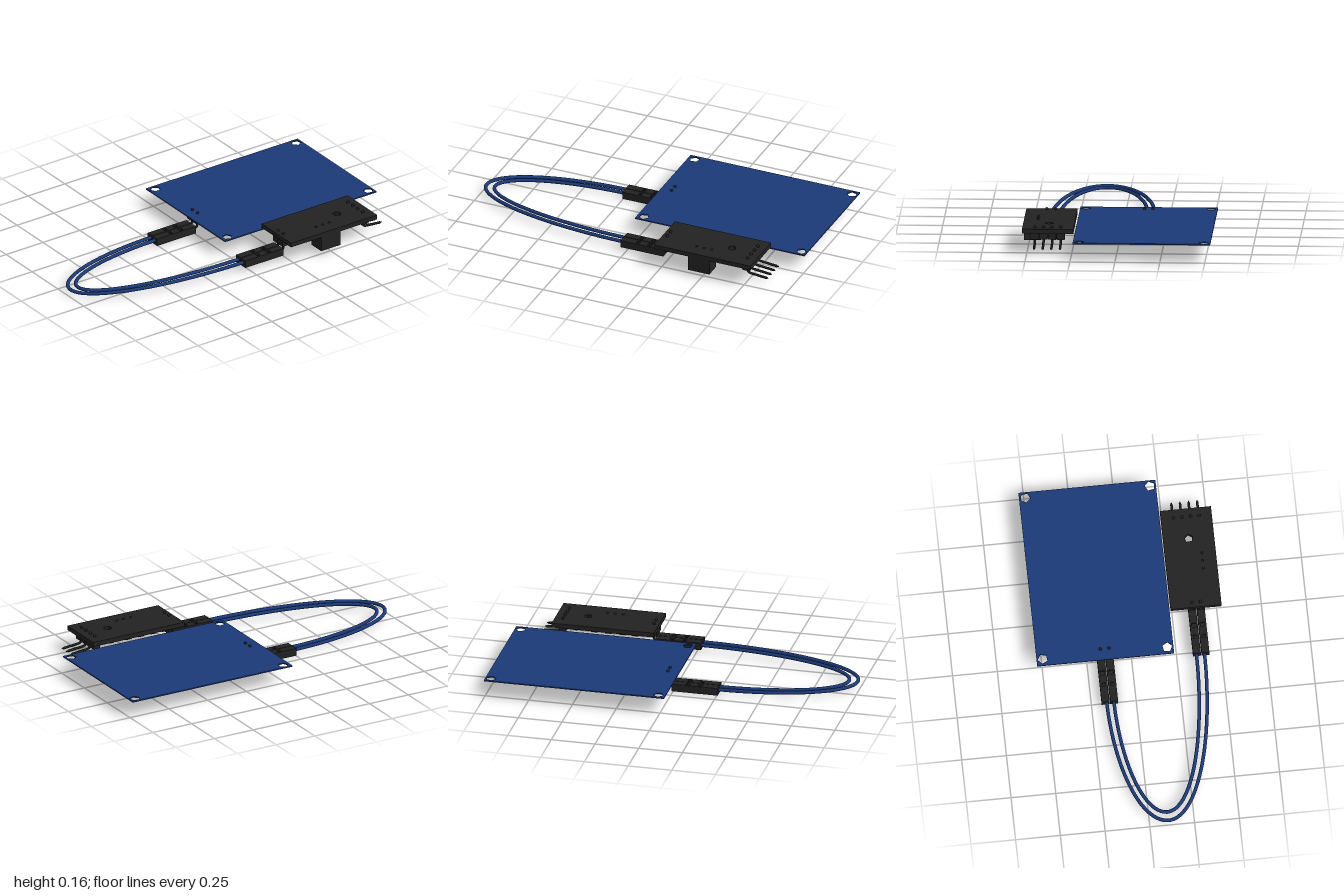
import * as THREE from 'three';

const blue = new THREE.MeshStandardMaterial({ color: 0x1c3a78 });
const black = new THREE.MeshStandardMaterial({ color: 0x222222 });

function add(parent, name, geometry, material) {
  const mesh = new THREE.Mesh(geometry, material);
  mesh.name = name;
  parent.add(mesh);
  return mesh;
}

// Box given by its limits on each axis
function box(parent, name, [x0, x1], [y0, y1], [z0, z1], material = black) {
  const g = new THREE.BoxGeometry(x1 - x0, y1 - y0, z1 - z0);
  g.translate((x0 + x1) / 2, (y0 + y1) / 2, (z0 + z1) / 2);
  return add(parent, name, g, material);
}

// Flat rectangle with polygonal holes; each hole is [x, z, radius, sides, turn]
function slab(parent, name, [x0, x1], [y0, y1], [z0, z1], holes, material) {
  const shape = new THREE.Shape([[x0, -z1], [x1, -z1], [x1, -z0], [x0, -z0]].map(p => new THREE.Vector2(...p)));
  for (const [x, z, r, sides, turn = 0] of holes) {
    const pts = [];
    for (let i = 0; i < sides; i++) {
      const a = turn + i / sides * Math.PI * 2;
      pts.push(new THREE.Vector2(x + r * Math.cos(a), -z + r * Math.sin(a)));
    }
    shape.holes.push(new THREE.Path(pts));
  }
  const g = new THREE.ExtrudeGeometry(shape, { depth: y1 - y0, bevelEnabled: false });
  g.rotateX(-Math.PI / 2).translate(0, y0, 0);
  return add(parent, name, g, material);
}

// Bent pin: from above the board, down through it, then outwards to a pointed tip
function pin(parent, x, yTop, yBend, z, yEnd, zEnd) {
  const dir = Math.sign(zEnd - z);
  const pts = [[x, yTop, z], [x, yBend + 0.015, z], [x, yBend, z + dir * 0.012], [x, yEnd, zEnd]];
  const curve = new THREE.CatmullRomCurve3(pts.map(p => new THREE.Vector3(...p)), false, 'catmullrom', 0.1);
  add(parent, 'pin', new THREE.TubeGeometry(curve, 24, 0.007, 6), black);
  const cap = add(parent, 'solderDot', new THREE.SphereGeometry(0.009, 8, 6), black);
  cap.position.set(x, yTop, z);
  const tip = add(parent, 'pinTip', new THREE.ConeGeometry(0.007, 0.015, 6), black);
  tip.rotation.x = dir * Math.PI / 2;
  tip.position.set(x, yEnd, zEnd + dir * 0.006);
}

// Wire socket with a latch window in its upper face
function socket(parent, x, y0, z0, z1) {
  const xs = [x - 0.022, x + 0.022];
  box(parent, 'socketBody', xs, [y0, y0 + 0.031], [z0, z1]);
  slab(parent, 'socketTop', xs, [y0 + 0.031, y0 + 0.043], [z0, z1],
    [[x, z0 + 0.09, 0.017, 4, Math.PI / 4], [x, z0 + 0.16, 0.014, 4, Math.PI / 4]], black);
}

function wire(parent, xl, xr, zMax) {
  const start = new THREE.Vector3(xl, 0.027, 0.23), end = new THREE.Vector3(xr, 0.048, 0.01);
  const mid = (xl + xr) / 2 - 0.012, pts = [];
  const n = 24;
  for (let i = 0; i <= n; i++) {
    const a = i / n * Math.PI, left = a < Math.PI / 2;
    const from = left ? start : end;
    const x = mid + (from.x - mid) * Math.abs(Math.cos(a));
    const z = from.z + (zMax - from.z) * Math.sin(a);
    pts.push(new THREE.Vector3(x, THREE.MathUtils.lerp(start.y, end.y, (x - xl) / (xr - xl)), z));
  }
  add(parent, 'wire', new THREE.TubeGeometry(new THREE.CatmullRomCurve3(pts), 96, 0.01, 10), blue);
}

function sensorPlate() {
  const g = new THREE.Group();
  g.name = 'sensorPlate';
  const corners = [];
  for (const x of [-0.495, 0.2]) for (const z of [-0.967, -0.01]) corners.push([x, z, 0.029, 5, x + z]);
  slab(g, 'plate', [-0.53, 0.235], [0.103, 0.11], [-1, 0.03], corners, blue);

  // Two interlocking combs of tracks on the underside
  const ys = [0.1005, 0.1035], n = 18, z0 = -0.91, step = 0.047;
  box(g, 'trackRail', [-0.485, -0.463], ys, [z0, z0 + step * (n - 1) + 0.024]);
  box(g, 'trackRail', [0.168, 0.19], ys, [z0, z0 + step * (n - 1) + 0.024]);
  for (let i = 0; i < n; i++) {
    const z = z0 + i * step;
    box(g, 'track', i % 2 ? [-0.47, 0.145] : [-0.44, 0.175], ys, [z, z + 0.024]);
  }

  // Two-pin header
  for (const x of [-0.171, -0.123]) {
    box(g, 'headerBlock', [x - 0.0225, x + 0.0225], [0.057, 0.103], [-0.056, -0.012]);
    pin(g, x, 0.112, 0.024, -0.034, 0.024, 0.1);
    socket(g, x, 0.002, -0.008, 0.255);
  }
  return g;
}

function controlBoard() {
  const g = new THREE.Group();
  g.name = 'controlBoard';
  slab(g, 'board', [0.24, 0.525], [0.121, 0.147], [-0.8, -0.215], [[0.382, -0.625, 0.025, 5, 0.4]], black);

  // Adjustment block with its dial and leads
  box(g, 'trimmer', [0.43, 0.525], [0.035, 0.122], [-0.55, -0.42]);
  const dial = add(g, 'trimmerDial', new THREE.CylinderGeometry(0.018, 0.018, 0.008, 12), black);
  dial.rotation.z = Math.PI / 2;
  dial.position.set(0.43, 0.07, -0.52);
  for (const z of [-0.53, -0.485, -0.44]) {
    const lead = add(g, 'trimmerLead', new THREE.SphereGeometry(0.007, 8, 6), black);
    lead.position.set(0.447, 0.148, z);
  }

  // Comparator chip with legs
  box(g, 'chip', [0.315, 0.385], [0.096, 0.118], [-0.47, -0.38]);
  for (let i = 0; i < 4; i++) {
    const z = -0.46 + i * 0.022;
    box(g, 'chipLeg', [0.298, 0.402], [0.108, 0.122], [z, z + 0.01]);
  }

  // Small surface parts: [x, z, width, length]
  const parts = [[0.27, -0.33, 0.02, 0.036], [0.27, -0.4, 0.02, 0.036], [0.27, -0.48, 0.02, 0.036],
    [0.27, -0.56, 0.02, 0.036], [0.33, -0.55, 0.036, 0.02], [0.39, -0.55, 0.036, 0.02],
    [0.46, -0.35, 0.036, 0.02], [0.28, -0.67, 0.036, 0.02], [0.48, -0.66, 0.036, 0.02], [0.33, -0.32, 0.036, 0.02]];
  for (const [x, z, w, l] of parts)
    box(g, 'surfacePart', [x - w / 2, x + w / 2], [0.108, 0.122], [z - l / 2, z + l / 2]);

  // Front header with its sockets
  for (const x of [0.362, 0.41]) {
    box(g, 'headerBlock', [x - 0.0225, x + 0.0225], [0.082, 0.122], [-0.265, -0.222]);
    pin(g, x, 0.151, 0.048, -0.243, 0.048, -0.12);
    socket(g, x, 0.026, -0.229, 0.03);
  }

  // Rear four-pin header
  for (const x of [0.311, 0.359, 0.407, 0.455]) {
    box(g, 'headerBlock', [x - 0.0225, x + 0.0225], [0.082, 0.122], [-0.773, -0.73]);
    pin(g, x, 0.151, 0.06, -0.751, 0.05, -0.868);
  }
  return g;
}

export function createModel() {
  const model = new THREE.Group();
  model.name = 'rainSensorKit';
  model.add(sensorPlate(), controlBoard());
  const cable = new THREE.Group();
  cable.name = 'cable';
  wire(cable, -0.165, 0.405, 0.985);
  wire(cable, -0.125, 0.36, 0.935);
  model.add(cable);
  return model;
}
